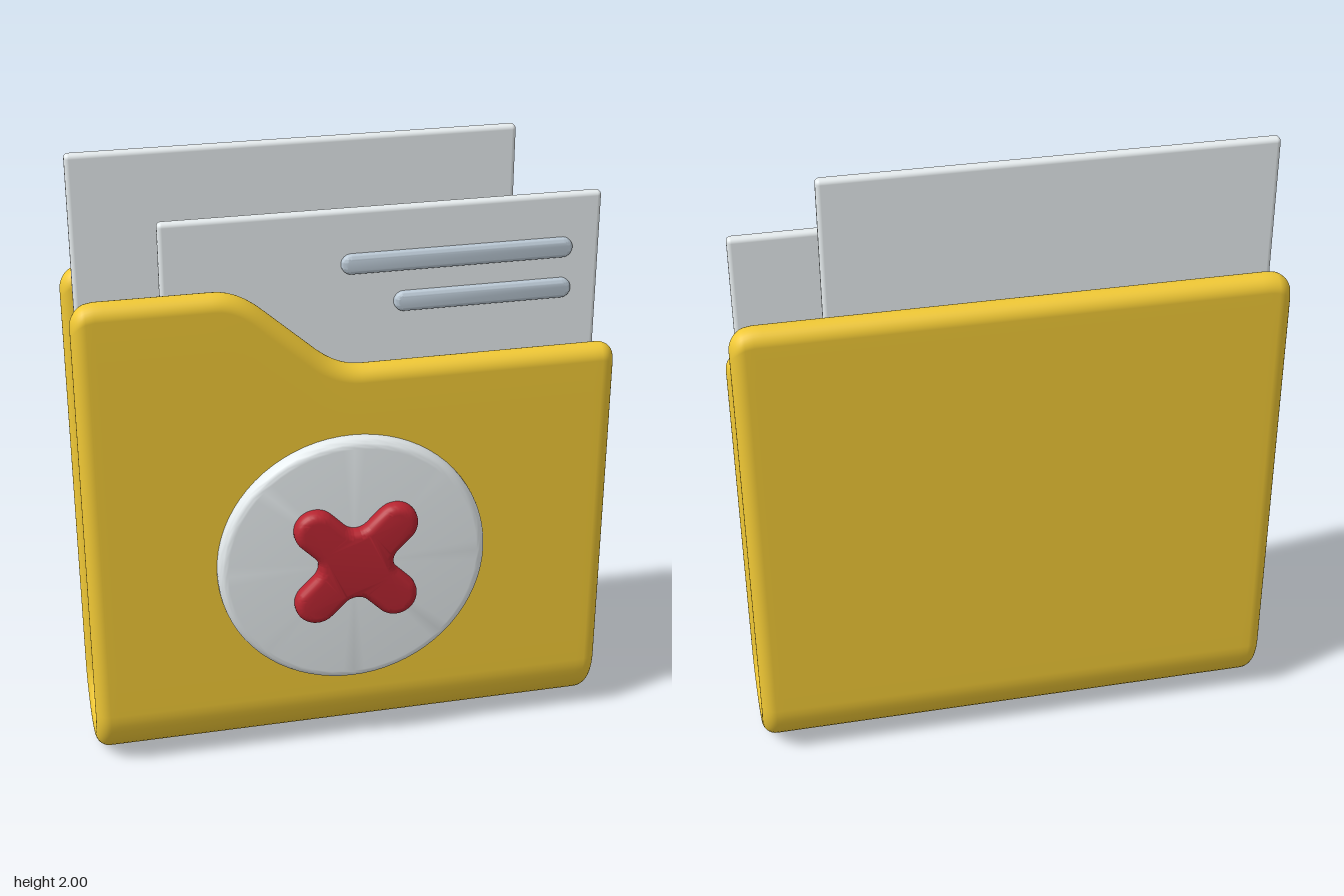
import * as THREE from 'three';
import { mergeVertices, toCreasedNormals } from 'three/addons/utils/BufferGeometryUtils.js';
import { RoundedBoxGeometry } from 'three/addons/geometries/RoundedBoxGeometry.js';

const material = (color) => new THREE.MeshStandardMaterial({ color });
const YELLOW = material(0xf0c835), PAPER = material(0xe6ecee), LINE = material(0xbccad6), RED = material(0xb82531);

const HALF = 0.84;    // half width of the folder
const R = 0.045;      // half thickness of the folder
const BEND = 0.155;   // radius of the spine's middle line
const BEND_Y = 0.2, BEND_Z = -0.04;

function part(name, geometry, mat, x = 0, y = 0, z = 0) {
  const mesh = new THREE.Mesh(geometry, mat);
  mesh.name = name;
  mesh.position.set(x, y, z);
  return mesh;
}

// Top edge of the front cover: a high tab, a softened slope, a low edge
function frontTop(x) {
  let sum = 0;
  for (let k = -6; k <= 6; k++) sum += THREE.MathUtils.clamp((x + k * 0.011 + 0.345) / 0.305, 0, 1);
  return 1.61 - 0.27 * sum / 13;
}

// How far the top edge falls at the rounded corners
function cornerDrop(x, c) {
  const t = Math.max(0, c - (HALF - Math.abs(x)));
  return c - Math.sqrt(Math.max(0, c * c - t * t));
}

// Folder: one sheet bent into a U, thinning to a round rim on every side
function folderGeometry() {
  const EDGE = 8, INNER = 60, STRAIGHT = 10, ARC = 28;
  const columns = [];
  for (let k = 0; k < EDGE; k++) {
    const a = k / EDGE * Math.PI / 2;
    columns.push({ x: -HALF + R * (1 - Math.cos(a)), p: Math.sin(a) });
  }
  for (let k = 0; k <= INNER; k++) columns.push({ x: (HALF - R) * (2 * k / INNER - 1), p: 1 });
  for (let k = EDGE - 1; k >= 0; k--) columns.push({ x: -columns[k].x, p: columns[k].p });

  // Points of one cover from its top rim down to the bend
  const cover = (top, slope, z, n) => {
    const rows = [];
    for (let k = 0; k <= EDGE; k++) {
      const a = k / EDGE * Math.PI / 2;
      rows.push({ y: top - R * (1 - Math.cos(a)) * Math.hypot(1, slope), z, ny: 0, nz: n, p: Math.sin(a) });
    }
    const start = rows[EDGE].y;
    for (let k = 1; k <= STRAIGHT; k++) {
      rows.push({ y: THREE.MathUtils.lerp(start, BEND_Y, k / STRAIGHT), z, ny: 0, nz: n, p: 1 });
    }
    return rows;
  };

  const outer = [], inner = [];
  let rowCount = 0;
  for (const { x, p } of columns) {
    const slope = (frontTop(x + 0.005) - frontTop(x - 0.005)) / 0.01;
    const rows = cover(frontTop(x) - cornerDrop(x, x < 0 ? 0.07 : 0.05), slope, BEND_Z + BEND, 1);
    for (let k = 1; k < ARC; k++) {
      const a = k / ARC * Math.PI, ny = -Math.sin(a), nz = Math.cos(a);
      rows.push({ y: BEND_Y + BEND * ny, z: BEND_Z + BEND * nz, ny, nz, p: 1 });
    }
    rows.push(...cover(1.61 - cornerDrop(x, 0.07), 0, BEND_Z - BEND, -1).reverse());
    rowCount = rows.length;
    for (const r of rows) {
      const h = R * p * r.p;
      outer.push(x, r.y + r.ny * h, r.z + r.nz * h);
      inner.push(x, r.y - r.ny * h, r.z - r.nz * h);
    }
  }
  const index = [], shift = outer.length / 3;
  for (let j = 0; j < columns.length - 1; j++) {
    for (let i = 0; i < rowCount - 1; i++) {
      const a = j * rowCount + i, b = a + 1, c = a + rowCount, d = c + 1;
      index.push(a, b, c, c, b, d);
      for (const v of [a, c, b, c, d, b]) index.push(v + shift);
    }
  }
  const geometry = new THREE.BufferGeometry();
  geometry.setAttribute('position', new THREE.Float32BufferAttribute(outer.concat(inner), 3));
  geometry.setIndex(index);
  const merged = mergeVertices(geometry, 1e-5);
  merged.computeVertexNormals();
  return merged;
}

// Shape pushed out along z with a round bevel kept inside its outline
function softExtrude(shape, depth, bevel) {
  const geometry = new THREE.ExtrudeGeometry(shape, {
    depth: depth - 2 * bevel, bevelThickness: bevel, bevelSize: bevel, bevelOffset: -bevel,
    bevelSegments: 6, curveSegments: 14,
  });
  geometry.translate(0, 0, bevel);
  return toCreasedNormals(geometry, 0.6);
}

// Pill outline between two x positions
function pill(x0, x1, r) {
  const s = new THREE.Shape();
  s.absarc(x1 - r, 0, r, -Math.PI / 2, Math.PI / 2);
  s.absarc(x0 + r, 0, r, Math.PI / 2, Math.PI * 1.5);
  return s;
}

// Diagonal cross outline with round arm ends and filleted inner corners
function crossShape(reach, w, fillet) {
  const s = new THREE.Shape();
  for (let k = 0; k < 4; k++) {
    const a = Math.PI / 4 + k * Math.PI / 2;
    s.absarc(Math.cos(a) * reach, Math.sin(a) * reach, w, a - Math.PI / 2, a + Math.PI / 2);
    const mid = a + Math.PI / 4, d = (w + fillet) * Math.SQRT2;
    s.absarc(Math.cos(mid) * d, Math.sin(mid) * d, fillet, mid + Math.PI * 1.25, mid + Math.PI * 0.75, true);
  }
  return s;
}

// Round badge with a soft front rim
function discGeometry(radius, depth, soft) {
  const profile = [new THREE.Vector2(0, 0), new THREE.Vector2(radius, 0)];
  for (let k = 0; k <= 8; k++) {
    const a = k / 8 * Math.PI / 2;
    profile.push(new THREE.Vector2(radius - soft + soft * Math.cos(a), depth - soft + soft * Math.sin(a)));
  }
  profile.push(new THREE.Vector2(0, depth));
  const geometry = new THREE.LatheGeometry(profile, 72);
  geometry.rotateX(Math.PI / 2);
  return toCreasedNormals(geometry, 0.6);
}

function sheet(name, x0, x1, y0, y1, z) {
  return part(name, new RoundedBoxGeometry(x1 - x0, y1 - y0, 0.036, 4, 0.014), PAPER, (x0 + x1) / 2, (y0 + y1) / 2, z);
}

export function createModel() {
  const model = new THREE.Group();
  model.name = 'folder';
  model.add(part('folderCover', folderGeometry(), YELLOW));

  // Papers and the raised lines on the front one
  model.add(sheet('backPaper', -0.81, 0.555, 0.11, 2, -0.083));
  model.add(sheet('frontPaper', -0.56, 0.81, 0.11, 1.8, 0.002));
  model.add(part('upperTextLine', softExtrude(pill(-0.01, 0.72, 0.032), 0.035, 0.015), LINE, 0, 1.63, 0.006));
  model.add(part('lowerTextLine', softExtrude(pill(0.155, 0.72, 0.032), 0.035, 0.015), LINE, 0, 1.497, 0.006));

  // Badge with cross
  model.add(part('badge', discGeometry(0.43, 0.065, 0.03), PAPER, -0.008, 0.695, 0.138));
  model.add(part('cross', softExtrude(crossShape(0.18, 0.07, 0.05), 0.065, 0.028), RED, -0.005, 0.705, 0.182));
  return model;
}
